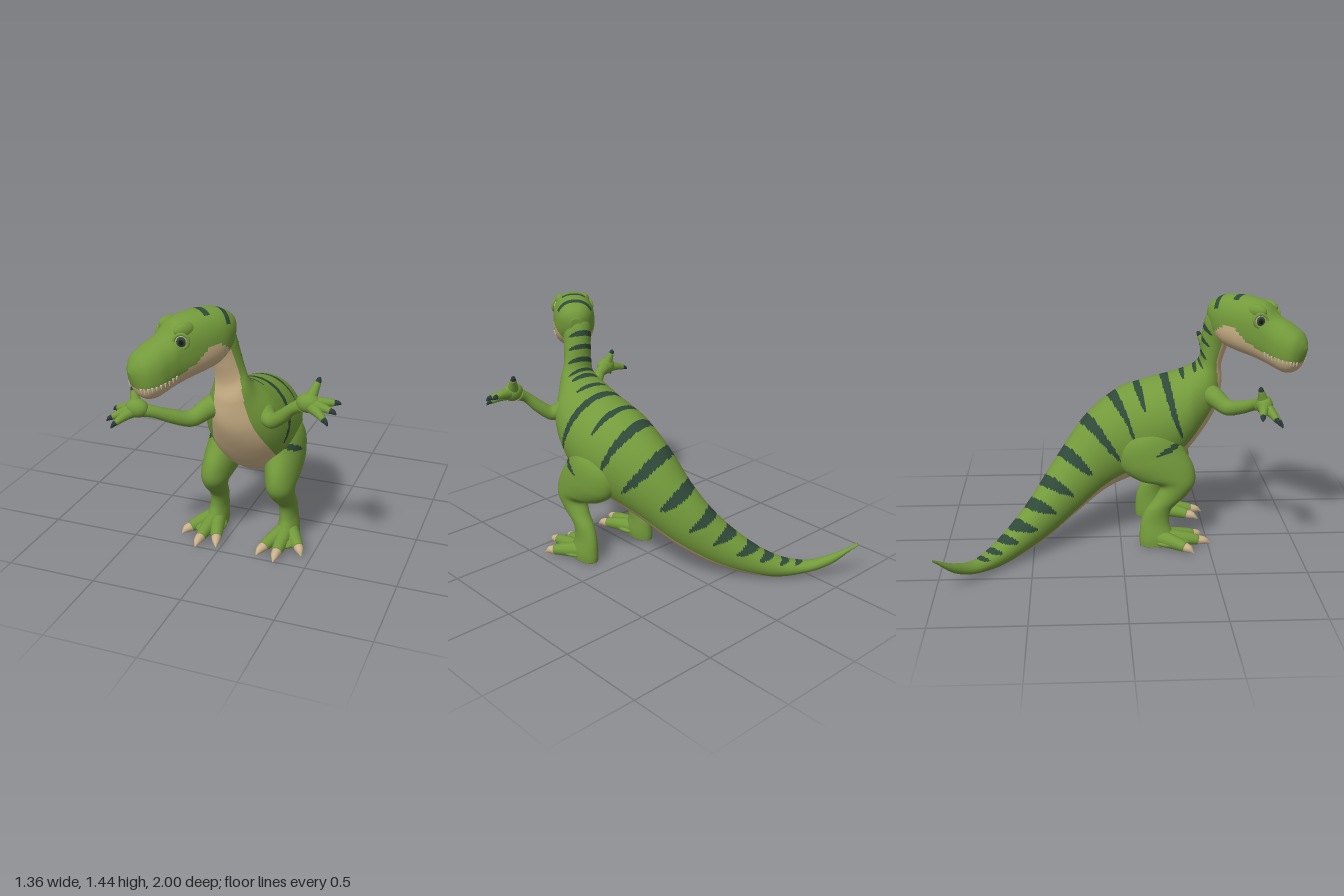
import * as THREE from 'three';

const mat = (name, color) => Object.assign(new THREE.MeshStandardMaterial({ color }), { name });
const green = mat('skinGreen', 0x739a3b), dark = mat('stripeDark', 0x2f4939), tan = mat('bellyTan', 0xcdb388);
const clawTan = mat('toeClaw', 0xcbb28c), clawDark = mat('fingerClaw', 0x2b3a3c), tooth = mat('tooth', 0xe2d8bd);
const eyeWhite = mat('eye', 0xb9aa80), black = mat('pupil', 0x161a18);
const SKIN = [green, dark, tan];
const MID = 0.115; // x of the body's mirror plane
const clamp = THREE.MathUtils.clamp;

// Smooth interpolation through rows of numbers
function sample(rows, s) {
  const n = rows.length - 1, i = Math.min(Math.floor(s), n - 1), t = s - i;
  const [a, b, c, d] = [rows[Math.max(i - 1, 0)], rows[i], rows[i + 1], rows[Math.min(i + 2, n)]];
  return b.map((_, k) => 0.5 * (2 * b[k] + (c[k] - a[k]) * t + (2 * a[k] - 5 * b[k] + 4 * c[k] - d[k]) * t * t
    + (3 * b[k] - a[k] - 3 * c[k] + d[k]) * t * t * t));
}

// Oval ring at s; each row is [top xyz, bottom xyz, half width]
function ringAt(rows, s, power = 1) {
  const read = (q) => {
    const v = sample(rows, clamp(q, 0, rows.length - 1));
    return { top: new THREE.Vector3(v[0], v[1], v[2]), bot: new THREE.Vector3(v[3], v[4], v[5]), w: v[6] };
  };
  const mid = (r) => r.top.clone().add(r.bot).multiplyScalar(0.5);
  const r = read(s), c = mid(r), up = r.top.clone().sub(c);
  const tangent = mid(read(s + 0.1)).sub(mid(read(s - 0.1)));
  const side = tangent.cross(up).normalize().multiplyScalar(Math.max(r.w, 0.001));
  const bend = (q) => Math.sign(q) * Math.abs(q) ** power;
  return (phi, k = 1) => c.clone().addScaledVector(up, -bend(Math.cos(phi)) * k).addScaledVector(side, bend(Math.sin(phi)) * k);
}

// Closed skin over the rings; paint(s, angle from top, point) picks a material index
function loft(name, rows, { steps = 6, sides = 20, power = 1, mats = [green], paint = null } = {}) {
  const n = (rows.length - 1) * steps, pos = [], idx = mats.map(() => []);
  for (let i = -1; i <= n + 1; i++) {
    const ring = ringAt(rows, clamp(i, 0, n) / steps, power), k = i < 0 || i > n ? 0 : 1;
    for (let j = 0; j < sides; j++) pos.push(...ring(j / sides * Math.PI * 2, k).toArray());
  }
  for (let i = 0; i < n + 2; i++) for (let j = 0; j < sides; j++) {
    const a = i * sides + j, b = i * sides + (j + 1) % sides, c = a + sides, d = b + sides;
    const p = new THREE.Vector3().fromArray(pos, a * 3).add(new THREE.Vector3().fromArray(pos, d * 3)).multiplyScalar(0.5);
    const m = paint ? paint(clamp(i - 0.5, 0, n) / steps, (j + 0.5) / sides * Math.PI * 2 - Math.PI, p) : 0;
    idx[m].push(a, c, b, b, c, d);
  }
  const g = new THREE.BufferGeometry();
  g.setAttribute('position', new THREE.Float32BufferAttribute(pos, 3));
  g.setIndex(idx.flat());
  let start = 0;
  idx.forEach((list, m) => { g.addGroup(start, list.length, m); start += list.length; });
  g.computeVertexNormals();
  const mesh = new THREE.Mesh(g, mats.length > 1 ? mats : mats[0]);
  mesh.name = name;
  return mesh;
}

// Round limb through points [x, y, z, radius]
function tube(name, pts, material = green, sides = 14) {
  const v = pts.map((p) => new THREE.Vector3(...p));
  const run = v.at(-1).clone().sub(v[0]).normalize();
  const ref = Math.abs(run.y) < 0.75 ? new THREE.Vector3(0, 1, 0) : new THREE.Vector3(0, 0, 1);
  const rows = pts.map((p, i) => {
    const t = v[Math.min(i + 1, v.length - 1)].clone().sub(v[Math.max(i - 1, 0)]).normalize();
    const up = ref.clone().addScaledVector(t, -t.dot(ref)).normalize().multiplyScalar(p[3]);
    return [...v[i].clone().add(up).toArray(), ...v[i].clone().sub(up).toArray(), p[3]];
  });
  return loft(name, rows, { sides, mats: [material] });
}

function ball(name, material, p, scale) {
  const m = new THREE.Mesh(new THREE.SphereGeometry(1, 24, 16), material);
  m.name = name; m.position.set(...p); m.scale.set(...scale);
  return m;
}

// Tail, trunk and neck in one skin
const BODY = [
  [-.68, .21, -.996, -.675, .188, -.985, .011], [-.585, .135, -.89, -.575, .083, -.905, .027],
  [-.46, .097, -.785, -.475, .028, -.805, .045], [-.31, .155, -.655, -.32, .008, -.665, .068],
  [-.15, .32, -.485, -.135, .06, -.465, .096], [-.03, .52, -.34, 0, .165, -.285, .13],
  [.05, .73, -.19, .075, .285, -.105, .172], [.1, .87, -.02, .11, .357, .07, .213],
  [.115, .925, .13, .115, .395, .2, .235], [.115, .965, .28, .115, .455, .33, .232],
  [.11, 1.0, .38, .11, .59, .45, .207], [.1, 1.035, .43, .1, .76, .55, .148],
  [.095, 1.07, .45, .095, .92, .58, .105], [.085, 1.13, .455, .085, 1.03, .575, .085],
  [.07, 1.22, .46, .07, 1.13, .6, .077], [.052, 1.32, .48, .052, 1.2, .625, .078],
  [.035, 1.38, .54, .035, 1.27, .66, .07]];
// Stripes: [position, half thickness, reach down each side]
const STRIPES = [[2.1, .11, .95], [2.5, .11, 1.1], [2.95, .12, 1.25], [3.35, .13, 1.4], [3.87, .13, 1.5], [4.42, .13, 1.55],
  [5.12, .14, 1.6], [5.95, .14, 1.85], [6.85, .14, 1.6], [7.75, .14, 1], [8.8, .16, 1.95], [9.65, .15, .5],
  [10.75, .25, .6], [11.6, .25, .85], [12.75, .22, 1.15], [13.65, .16, 1.25], [14.4, .16, 1.25], [15.2, .14, 1.1]];
function paintBody(s, angle) {
  const a = Math.abs(angle);
  const belly = .84 * clamp((s - 1.9) / 1.3, 0, 1) + .26 * clamp((s - 11.5) / 2, 0, 1);
  if (Math.PI - a < belly) return 2;
  const lean = (s < 7 ? .17 : s < 10 ? .14 : 0) * a * a;
  return STRIPES.some(([at, half, reach]) => a < reach && Math.abs(s - lean - at) < half * Math.sqrt(1 - (a / reach) ** 2)) ? 1 : 0;
}

// Head, built facing +z about its own neck joint
const HEAD = [
  [0, 1.34, -.125, 0, 1.26, -.115, .03], [0, 1.39, -.1, 0, 1.2, -.06, .08], [0, 1.43, -.03, 0, 1.155, 0, .111],
  [0, 1.44, .06, 0, 1.13, .08, .12], [0, 1.435, .15, 0, 1.11, .17, .117], [0, 1.41, .23, 0, 1.085, .25, .11],
  [0, 1.35, .29, 0, 1.065, .305, .109], [0, 1.315, .36, 0, 1.05, .355, .11], [0, 1.275, .425, 0, 1.055, .4, .096],
  [0, 1.235, .455, 0, 1.085, .432, .062], [0, 1.195, .47, 0, 1.14, .455, .014]];
// Height of the lip line along the head
const LIP = [[-.08, 1.17], [-.03, 1.25], [.03, 1.285], [.1, 1.275], [.17, 1.205], [.3, 1.15], [.48, 1.11]];
function lipY(z) {
  const i = clamp(LIP.findIndex((p) => p[0] > z), 1, LIP.length - 1), [a, b] = [LIP[i - 1], LIP[i]];
  return THREE.MathUtils.mapLinear(Math.max(z, LIP[0][0]), a[0], b[0], a[1], b[1]);
}
// Two short bars on the crown: [position, half thickness, reach]
function paintHead(s, angle, p) {
  if (p.z > -.05 && p.y < lipY(p.z)) return 2;
  return [[1.9, .2, 1.05], [3.1, .17, .55]].some(([at, h, reach]) => Math.abs(angle) < reach && Math.abs(s - at) < h) ? 1 : 0;
}

function makeHead() {
  const head = new THREE.Group();
  head.name = 'head';
  head.position.set(.03, 0, .6);
  head.rotation.y = THREE.MathUtils.degToRad(-35);
  head.add(loft('skull', HEAD, { steps: 14, sides: 72, power: .85, mats: SKIN, paint: paintHead }));
  for (const m of [-1, 1]) {
    head.add(ball('brow', green, [m * .07, 1.375, .2], [.03, .038, .058]));
    const eye = new THREE.Group();
    eye.name = 'eye';
    eye.position.set(m * .091, 1.333, .232);
    eye.rotation.y = m * .95;
    const lid = new THREE.Mesh(new THREE.TorusGeometry(.035, .008, 10, 28), green);
    lid.name = 'eyelid'; lid.position.z = .008;
    eye.add(lid, ball('eyeball', eyeWhite, [0, 0, 0], [.034, .034, .024]),
      ball('iris', dark, [0, 0, .014], [.024, .026, .011]), ball('pupil', black, [0, 0, .02], [.013, .015, .008]));
    head.add(eye, ball('nostril', black, [m * .045, 1.215, .444], [.008, .006, .006]));
    // Teeth hanging along the lip
    for (let s = 5.4; s < 9.4; s += .4) {
      const ring = ringAt(HEAD, s, .85);
      let p = ring(0);
      for (let a = 0; a < Math.PI && p.y < lipY(p.z); a += .02) p = ring(a);
      const t = new THREE.Mesh(new THREE.ConeGeometry(.007, .026, 8), tooth);
      t.name = 'tooth';
      t.rotation.x = Math.PI;
      t.position.set(Math.abs(p.x) * m, p.y - .008, p.z);
      head.add(t);
    }
  }
  return head;
}

// Finger or toe ending in a claw
function digit(name, pts, tip, clawMat) {
  const g = new THREE.Group(), [x, y, z, r] = pts.at(-1);
  g.name = name;
  const mid = [x + (tip[0] - x) * .55, y + (tip[1] - y) * .55 + r * .25, z + (tip[2] - z) * .55, r * .7];
  g.add(tube(name + 'Flesh', pts, green, 12), tube(name + 'Claw', [[x, y, z, r * .95], mid, [...tip, .002]], clawMat, 10));
  return g;
}

// Leg rows: [front z, front y, back z, back y, x from mirror plane, half width]
const LEG = [[.2, .75, .06, .72, .12, .03], [.305, .67, -.02, .58, .148, .098], [.365, .56, 0, .46, .167, .103],
  [.415, .46, .1, .385, .178, .092], [.42, .37, .215, .355, .185, .077], [.37, .295, .195, .29, .19, .062],
  [.29, .22, .14, .215, .194, .051], [.275, .14, .112, .14, .195, .049], [.3, .06, .105, .05, .197, .06],
  [.29, .005, .108, .003, .197, .056]];
const TOES = [[.1, .48], [.21, .515], [.335, .405]];
function makeLeg(m) {
  const g = new THREE.Group();
  g.name = m > 0 ? 'leftLeg' : 'rightLeg';
  // The right leg stands a little wider towards the ground
  const X = (x, y) => MID + m * x - (m < 0 ? .035 * (1 - clamp(y / .55, 0, 1)) : 0);
  const rows = LEG.map(([fz, fy, bz, by, x, w]) => [X(x, fy), fy, fz, X(x, by), by, bz, w]);
  const stripe = (s, a) => (a * m > .25 && a * m < 1.5 && Math.abs(s - 1.5 - .2 * a * m) < .13 * Math.sin((a * m - .25) * 2.5) ? 1 : 0);
  g.add(loft('thighAndShin', rows, { steps: 12, sides: 44, mats: SKIN, paint: stripe }));
  g.add(ball('footPad', green, [X(.203, 0), .032, .29], [.088, .03, .11]));
  for (const [tx, tz] of TOES) {
    const at = (k, y, r) => [X(.197 + (tx - .197) * k, 0), y, .2 + (tz - .2) * k, r];
    g.add(digit('toe', [at(0, .055, .05), at(.4, .046, .042), at(.65, .038, .034), at(.77, .032, .029)], at(1, .008, 0).slice(0, 3), clawTan));
  }
  return g;
}

// Arms are posed separately: arm path, palm centre and finger tips (thumb first)
const ARMS = [
  { name: 'leftArm', path: [[.18, .9, .4, .065], [.25, .855, .45, .055], [.305, .828, .49, .042], [.37, .875, .52, .036], [.43, .935, .545, .03], [.48, .965, .555, .036]],
    palm: [.515, .985, .56], tips: [[.555, 1.1, .49], [.675, .985, .525], [.67, .96, .6], [.64, .915, .645]] },
  { name: 'rightArm', path: [[.05, .9, .45, .065], [-.035, .86, .53, .055], [-.1, .822, .595, .044], [-.175, .85, .66, .037], [-.245, .885, .715, .031], [-.3, .9, .74, .038]],
    palm: [-.325, .91, .75], tips: [[-.36, 1.015, .72], [-.475, .865, .72], [-.47, .84, .81], [-.435, .815, .835]] }];
function makeArm({ name, path, palm, tips }) {
  const g = new THREE.Group();
  g.name = name;
  g.add(tube('forearm', path, green, 20), ball('palm', green, palm, [.062, .05, .046]));
  tips.forEach((tip, i) => {
    const lift = i ? .008 : 0;
    const at = (k, r, dy = 0) => [...palm.map((c, a) => c + (tip[a] - c) * k + (a === 1 ? dy : 0)), r];
    g.add(digit(i ? 'finger' : 'thumb', [at(.15, .034), at(.5, .024, lift), at(.8, .016, lift)], tip, clawDark));
  });
  return g;
}

export function createModel() {
  const model = new THREE.Group();
  model.name = 'dinosaur';
  model.add(loft('body', BODY, { steps: 24, sides: 88, mats: SKIN, paint: paintBody }));
  model.add(makeHead(), makeLeg(1), makeLeg(-1), ...ARMS.map(makeArm));
  return model;
}
